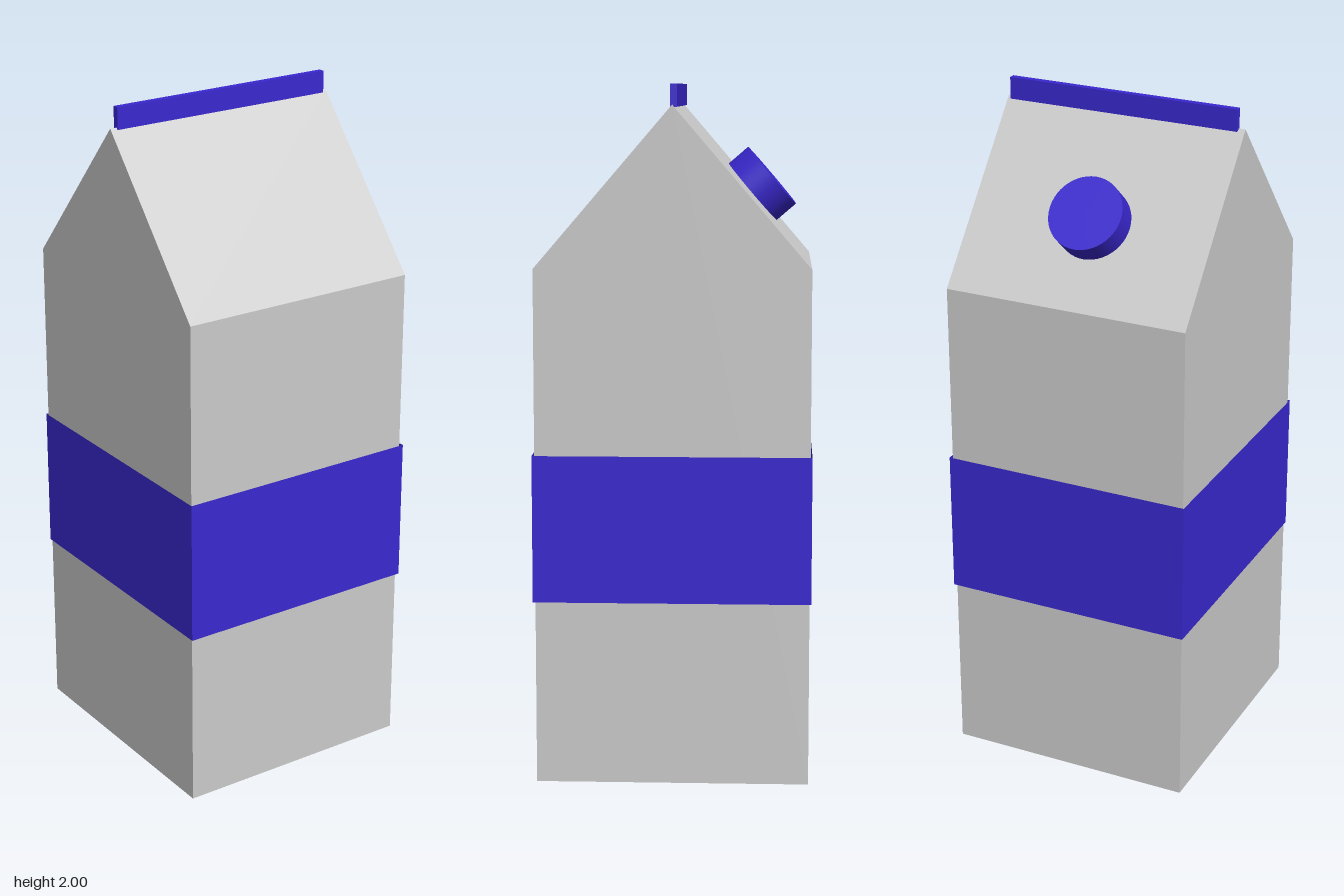
import * as THREE from 'three';

export function createModel() {
  const group = new THREE.Group();
  const grey = new THREE.MeshStandardMaterial({ color: 0xcccccc, flatShading: true });
  const blue = new THREE.MeshStandardMaterial({ color: 0x3a28d0 });
  const add = (name, geometry, material, x, y, z) => {
    const mesh = new THREE.Mesh(geometry, material);
    mesh.name = name;
    mesh.position.set(x, y, z);
    group.add(mesh);
    return mesh;
  };

  const halfWidth = 0.368, halfDepth = 0.392, eaves = 1.485, ridge = 1.942;

  // Carton: gabled side profile extruded across the width
  const profile = new THREE.Shape([
    [-halfDepth, 0], [halfDepth, 0], [halfDepth, eaves], [0, ridge], [-halfDepth, eaves],
  ].map(([x, y]) => new THREE.Vector2(x, y)));
  const carton = new THREE.ExtrudeGeometry(profile, { depth: 2 * halfWidth, bevelEnabled: false });
  carton.translate(0, 0, -halfWidth).rotateY(-Math.PI / 2);
  add('carton', carton, grey, -0.002, 0, -0.001);

  // Label: open four-sided sleeve just outside the walls
  const label = new THREE.CylinderGeometry(Math.SQRT2, Math.SQRT2, 0.424, 4, 1, true);
  label.rotateY(Math.PI / 4).scale(0.374, 1, 0.398);
  const labelMaterial = blue.clone();
  labelMaterial.flatShading = true;
  labelMaterial.side = THREE.DoubleSide;
  add('labelBand', label, labelMaterial, 0, 0.743, 0);

  // Sealed fin along the ridge
  add('topFin', new THREE.BoxGeometry(0.703, 0.064, 0.019), blue, 0.002, 1.968, -0.005);

  // Screw cap standing square on the back roof slope
  const cap = add('cap', new THREE.CylinderGeometry(0.109, 0.109, 0.074, 48), blue, -0.014, 1.71, -0.25);
  cap.rotation.x = -Math.atan2(ridge - eaves, halfDepth);

  return group;
}
